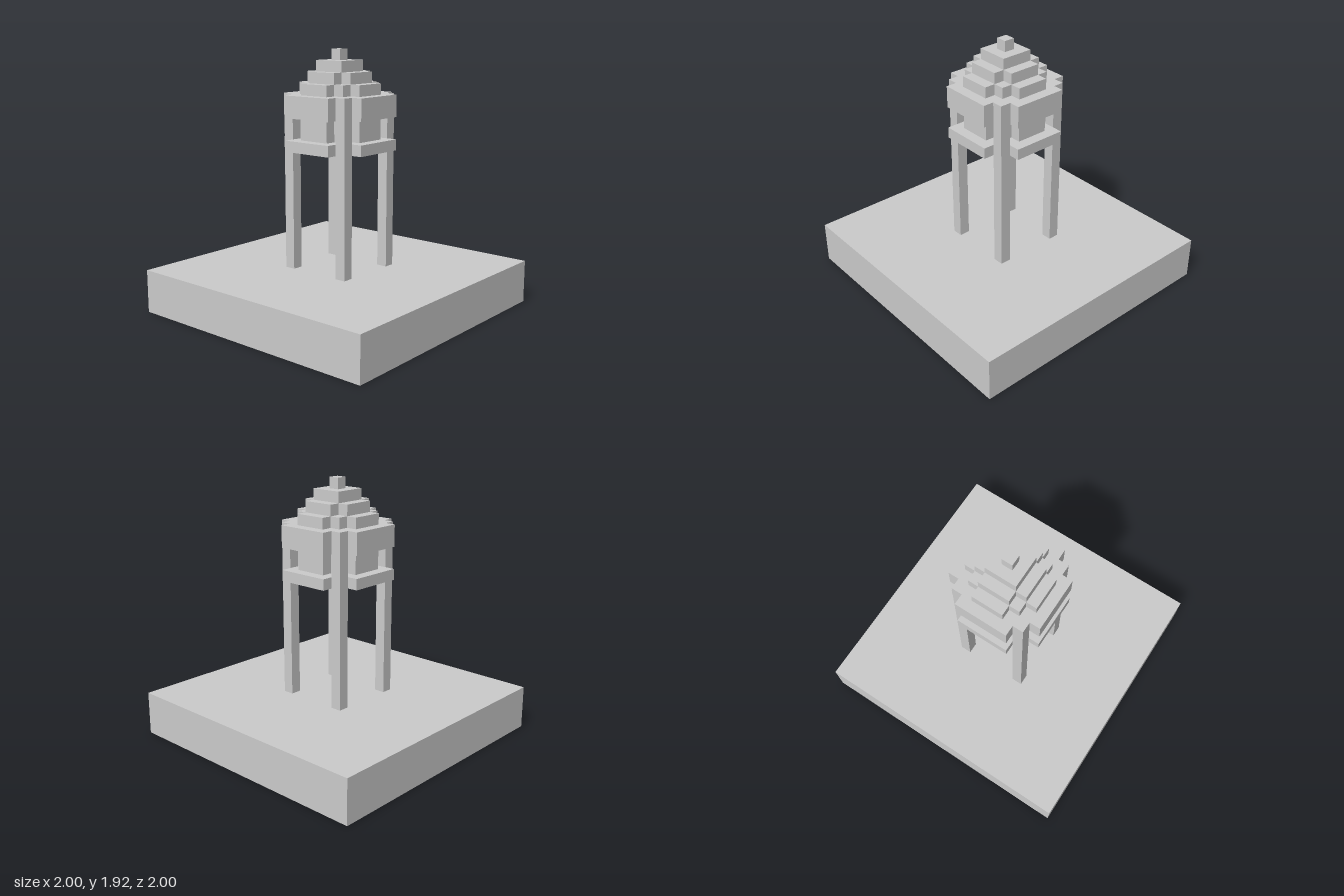
import * as THREE from 'three';

const U = 0.08; // one block
const material = new THREE.MeshStandardMaterial({ color: 0xcccccc, flatShading: true });

// Stepped disc of blocks with radius r, from block level y0 to y1
function blockDisc(name, r, y0, y1) {
  const side = [];
  let last = -1;
  for (let z = -r; z <= r; z++) {
    const w = Math.floor(Math.sqrt((r + 0.5) ** 2 - z * z)) + 0.5;
    if (w !== last) {
      if (last > 0) side.push(new THREE.Vector2(last * U, (z - 0.5) * U));
      side.push(new THREE.Vector2(w * U, (z - 0.5) * U));
    }
    last = w;
  }
  side.push(new THREE.Vector2(last * U, (r + 0.5) * U));
  const outline = [...side, ...side.map((p) => p.clone().negate())];
  const geometry = new THREE.ExtrudeGeometry(new THREE.Shape(outline), {
    depth: (y1 - y0) * U,
    bevelEnabled: false,
  });
  geometry.rotateX(-Math.PI / 2);
  const mesh = new THREE.Mesh(geometry, material);
  mesh.name = name;
  mesh.position.y = y0 * U;
  return mesh;
}

// Square block column, width w, centred on (x, z), from level y0 to y1
function column(name, w, y0, y1, x = 0, z = 0) {
  const mesh = new THREE.Mesh(new THREE.BoxGeometry(w * U, (y1 - y0) * U, w * U), material);
  mesh.name = name;
  mesh.position.set(x * U, ((y0 + y1) / 2) * U, z * U);
  return mesh;
}

export function createModel() {
  const model = new THREE.Group();
  model.name = 'waterTower';

  model.add(column('groundSlab', 25, 0, 4));

  // Four legs, continued above the platform as corner posts
  for (const x of [-3, 3]) {
    for (const z of [-3, 3]) {
      model.add(column('leg', 1, 4, 15, x, z));
      model.add(column('cornerPost', 1, 16, 18, x, z));
    }
  }

  // Platform, tank and stepped roof
  model.add(blockDisc('platform', 4, 15, 16));
  model.add(blockDisc('tankBody', 3, 16, 18));
  model.add(blockDisc('tankRim', 4, 18, 20));
  for (let i = 0; i < 3; i++) model.add(blockDisc('roofStep', 3 - i, 20 + i, 21 + i));
  model.add(column('finial', 1, 23, 24));

  return model;
}
